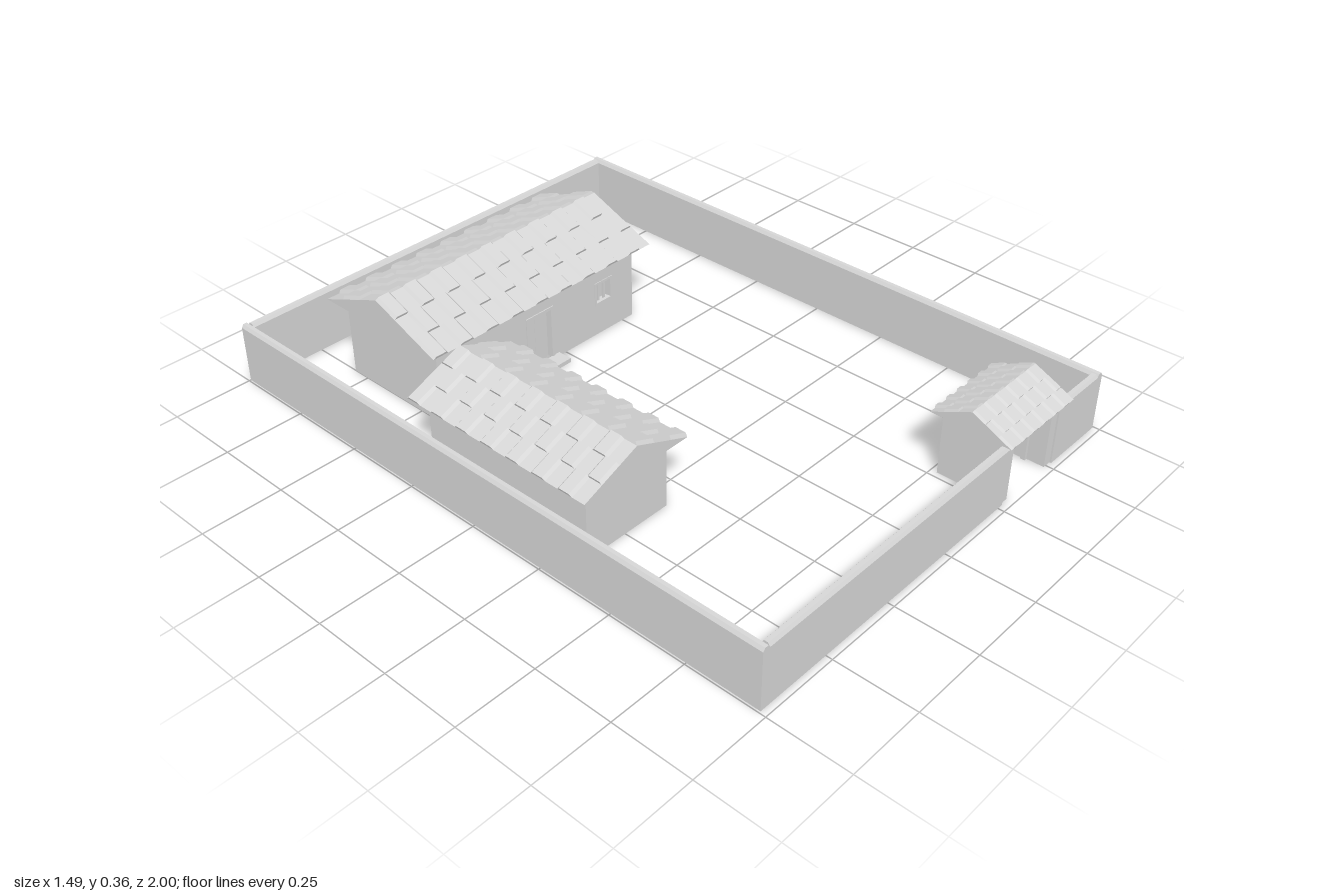
import * as THREE from 'three';
import { mergeGeometries } from 'three/addons/utils/BufferGeometryUtils.js';

const plaster = new THREE.MeshStandardMaterial({ color: 0xd6d6d6 });
plaster.name = 'pale grey plaster';

function add(parent, name, geometry, x = 0, y = 0, z = 0) {
  const mesh = new THREE.Mesh(geometry, plaster);
  mesh.name = name;
  mesh.position.set(x, y, z);
  parent.add(mesh);
  return mesh;
}

// Box given by its width, height, depth and the centre of its base
function box(parent, name, w, h, d, x, y, z) {
  return add(parent, name, new THREE.BoxGeometry(w, h, d), x, y + h / 2, z);
}

// Straight prism: a profile in x, y drawn out along z and centred
function prism(points, length) {
  const shape = new THREE.Shape(points.map(([x, y]) => new THREE.Vector2(x, y)));
  return new THREE.ExtrudeGeometry(shape, { depth: length, bevelEnabled: false })
    .translate(0, 0, -length / 2);
}

// Gable roof with its ridge along x and staggered rows of raised tiles
function gableRoof(parent, { length, depth, eave, rise, columns, rows = 3 }) {
  const roof = new THREE.Group();
  roof.name = 'roof';
  roof.position.y = eave;
  parent.add(roof);
  const run = depth / 2;
  add(roof, 'roofBody', prism([[-run, 0], [run, 0], [0, rise]], length).rotateY(Math.PI / 2));

  const slope = Math.hypot(run, rise);
  const rowLength = slope / rows;
  const pitch = length / columns;
  const w = pitch * 0.27;
  const h = Math.min(0.009, pitch * 0.12);
  const tiles = [];
  for (let r = 0; r < rows; r++) {
    for (let c = 0; c < columns; c++) {
      const x = -length / 2 + pitch * (c + (r % 2 ? 0.72 : 0.28));
      tiles.push(prism([[-w, 0], [w, 0], [w - h * 0.9, h], [-w + h * 0.9, h]], rowLength)
        .translate(x, 0, (r + 0.5) * rowLength));
    }
  }
  const tileGeometry = mergeGeometries(tiles);
  for (const turn of [0, Math.PI]) {
    const side = new THREE.Group();
    side.name = turn ? 'backSlope' : 'frontSlope';
    side.rotation.y = turn;
    roof.add(side);
    const mesh = add(side, 'roofTiles', tileGeometry, 0, rise, 0);
    mesh.rotation.x = Math.atan2(rise, run);
  }
}

// House facing +z with a recessed door, barred windows and a doorstep
function house({ name, length, depth, roofLength, roofDepth, eave, rise, columns, windows, stepDepth }) {
  const group = new THREE.Group();
  group.name = name;
  const recess = 0.03, front = depth / 2;
  const doorW = 0.11, doorH = 0.19, winW = 0.075, winH = 0.08, winY = 0.105;

  box(group, 'houseBody', length, eave, depth - recess, 0, 0, -recess / 2);

  // front wall with openings
  const wall = new THREE.Shape();
  wall.moveTo(-length / 2, 0).lineTo(-doorW / 2, 0).lineTo(-doorW / 2, doorH)
    .lineTo(doorW / 2, doorH).lineTo(doorW / 2, 0).lineTo(length / 2, 0)
    .lineTo(length / 2, eave).lineTo(-length / 2, eave).closePath();
  for (const x of windows) {
    const hole = new THREE.Path();
    hole.moveTo(x - winW / 2, winY).lineTo(x - winW / 2, winY + winH)
      .lineTo(x + winW / 2, winY + winH).lineTo(x + winW / 2, winY).closePath();
    wall.holes.push(hole);
  }
  add(group, 'frontWall', new THREE.ExtrudeGeometry(wall, { depth: recess, bevelEnabled: false }),
    0, 0, front - recess);

  // window frames and bars
  for (const x of windows) {
    for (const s of [-1, 1]) {
      box(group, 'windowJamb', 0.008, winH, 0.012, x + s * (winW / 2 - 0.004), winY, front - 0.004);
      box(group, 'windowRail', winW, 0.008, 0.012, x, s < 0 ? winY : winY + winH - 0.008, front - 0.004);
      box(group, 'windowBar', 0.006, winH, 0.008, x + s * 0.012, winY, front - 0.012);
    }
  }

  // door frame, leaves and step
  for (const s of [-1, 1]) {
    box(group, 'doorPost', 0.01, doorH, 0.014, s * (doorW / 2 - 0.005), 0, front - 0.004);
    box(group, 'doorLeaf', 0.044, doorH - 0.01, 0.006, s * 0.0225, 0, front - recess + 0.003);
  }
  box(group, 'doorLintel', doorW, 0.01, 0.014, 0, doorH - 0.01, front - 0.004);
  box(group, 'doorStep', 0.148, 0.014, stepDepth, 0, 0, front + stepDepth / 2);

  gableRoof(group, { length: roofLength, depth: roofDepth, eave, rise, columns });
  return group;
}

// Courtyard wall with a ridged top
function courtWall(parent, name, length, x, z, alongX) {
  const t = 0.0125;
  const profile = [[-t, 0], [t, 0], [t, 0.185], [0.006, 0.195], [-0.006, 0.195], [-t, 0.185]];
  const mesh = add(parent, name, prism(profile, length), x, 0, z);
  if (alongX) mesh.rotation.y = Math.PI / 2;
}

// Roofed gateway with open door leaves
function gateway() {
  const gate = new THREE.Group();
  gate.name = 'gateway';
  for (const s of [-1, 1]) {
    box(gate, 'gateSideWall', 0.03, 0.21, 0.205, s * 0.11, 0, 0);
    box(gate, 'gatePost', 0.01, 0.175, 0.014, s * 0.09, 0, 0.04);
    box(gate, 'gateLeaf', 0.006, 0.165, 0.085, s * 0.089, 0.004, -0.005);
  }
  box(gate, 'gateLintel', 0.19, 0.035, 0.205, 0, 0.175, 0);
  gableRoof(gate, { length: 0.31, depth: 0.255, eave: 0.21, rise: 0.06, columns: 6 });
  return gate;
}

export function createModel() {
  const model = new THREE.Group();
  model.name = 'courtyardHomestead';

  // enclosing walls, open at the gateway
  const walls = new THREE.Group();
  walls.name = 'courtyardWalls';
  model.add(walls);
  for (const s of [-1, 1]) courtWall(walls, 'sideWall', 1.98, s * 0.7315, -0.01, false);
  courtWall(walls, 'backWall', 1.44, 0, -0.9875, true);
  courtWall(walls, 'frontWallRight', 0.99, -0.225, 0.9675, true);
  courtWall(walls, 'frontWallLeft', 0.2, 0.62, 0.9675, true);

  const main = house({
    name: 'mainHouse', length: 0.795, depth: 0.395, roofLength: 0.875, roofDepth: 0.475,
    eave: 0.255, rise: 0.095, columns: 9, windows: [-0.26, 0.27], stepDepth: 0.05
  });
  main.position.set(-0.103, 0, -0.61);
  model.add(main);

  const side = house({
    name: 'sideHouse', length: 0.6, depth: 0.3, roofLength: 0.675, roofDepth: 0.38,
    eave: 0.225, rise: 0.077, columns: 7, windows: [0.215], stepDepth: 0.055
  });
  side.position.set(-0.49, 0, 0.017);
  side.rotation.y = Math.PI / 2;
  model.add(side);

  const gate = gateway();
  gate.position.set(0.395, 0, 0.872);
  model.add(gate);
  return model;
}
